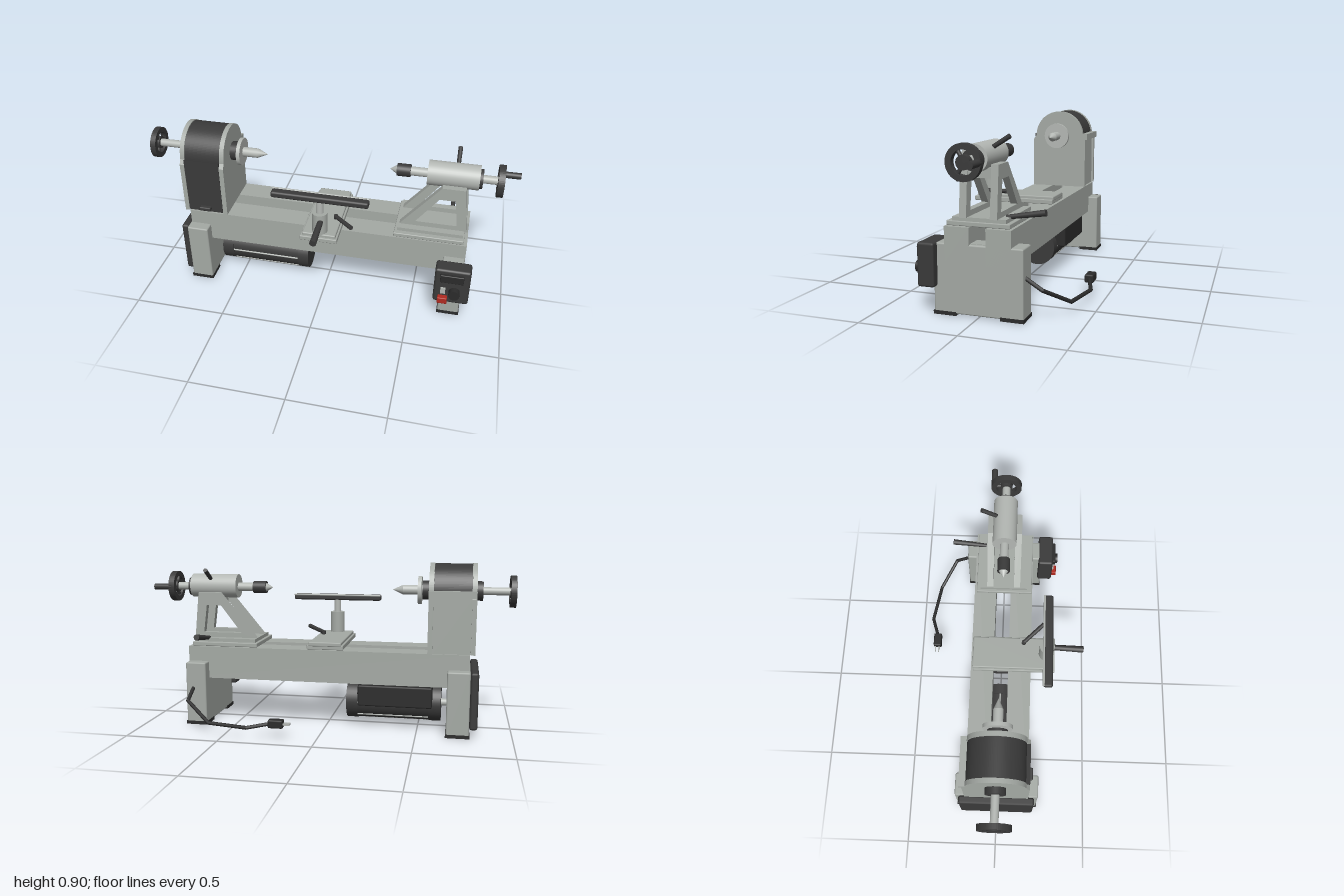
import * as THREE from 'three';
import { RoundedBoxGeometry } from 'three/addons/geometries/RoundedBoxGeometry.js';

const mat = (name, color) => {
  const m = new THREE.MeshStandardMaterial({ color });
  m.name = name;
  return m;
};

export function createModel() {
  const root = new THREE.Group();
  root.name = 'woodLathe';
  const paint = mat('grey paint', 0xa5aaa5);
  const steel = mat('bright steel', 0xb4b8b4);
  const dark = mat('dark plastic', 0x3a3a3a);
  const black = mat('black rubber', 0x2b2b2b);
  const red = mat('red button', 0xb02a20);

  const add = (name, geo, material) => {
    const m = new THREE.Mesh(geo, material);
    m.name = name;
    root.add(m);
    return m;
  };
  // Box given by its lower and upper limits on each axis
  const box = (name, [x0, x1], [y0, y1], [z0, z1], material, r = 0) => {
    const size = [x1 - x0, y1 - y0, z1 - z0];
    const g = r ? new RoundedBoxGeometry(...size, 1, r) : new THREE.BoxGeometry(...size);
    g.translate((x0 + x1) / 2, (y0 + y1) / 2, (z0 + z1) / 2);
    return add(name, g, material);
  };
  // Round rod from a to b, optionally tapered
  const rod = (name, a, b, r, material, rEnd = r, sides = 24) => {
    const A = new THREE.Vector3(...a), B = new THREE.Vector3(...b), d = B.clone().sub(A);
    const m = add(name, new THREE.CylinderGeometry(rEnd, r, d.length(), sides), material);
    m.position.copy(A).add(B).multiplyScalar(0.5);
    m.quaternion.setFromUnitVectors(new THREE.Vector3(0, 1, 0), d.normalize());
    return m;
  };
  // Rod along x on the turning axis
  const AXIS = 0.752;
  const spin = (name, x0, x1, r, material, rEnd = r) =>
    rod(name, [x0, AXIS, 0], [x1, AXIS, 0], r, material, rEnd, 32);
  // Shape drawn in (-z, y) and extruded along x
  const slab = (name, shape, x0, x1, material) => {
    const g = new THREE.ExtrudeGeometry(shape, { depth: x1 - x0, bevelEnabled: false, curveSegments: 28 });
    g.rotateY(Math.PI / 2);
    g.translate(x0, 0, 0);
    return add(name, g, material);
  };

  // Bed rails and their cross ties
  for (const s of [-1, 1]) {
    const z = [s * 0.042, s * 0.167].sort((a, b) => a - b);
    box('bedRail', [-0.77, 0.77], [0.255, 0.432], z, paint);
  }
  for (const x of [-0.715, 0.71]) box('bedTie', [x - 0.04, x + 0.04], [0.26, 0.352], [-0.045, 0.045], paint);

  // Legs with rubber feet
  for (const [x0, x1] of [[-0.777, -0.657], [0.655, 0.77]]) {
    box('leg', [x0, x1], [0.008, 0.35], [-0.225, 0.225], paint, 0.008);
    for (const s of [-1, 1]) {
      box('foot', [x0 - 0.003, x1 + 0.003], [0, 0.018], [s * 0.17 - 0.058, s * 0.17 + 0.058], black);
    }
  }
  box('beltCover', [-0.82, -0.777], [0.04, 0.345], [-0.205, 0.205], dark, 0.012);

  // Motor
  const MY = 0.135;
  rod('motorShaft', [-0.67, MY, 0], [-0.62, MY, 0], 0.02, steel);
  rod('motorBody', [-0.605, MY, 0], [-0.13, MY, 0], 0.1, dark, 0.1, 40);
  rod('motorCap', [-0.625, MY, 0], [-0.56, MY, 0], 0.104, dark, 0.104, 40);
  rod('motorCap', [-0.17, MY, 0], [-0.11, MY, 0], 0.104, dark, 0.104, 40);
  for (let i = 0; i < 8; i++) {
    const a = (i * Math.PI) / 4;
    const y = MY + 0.1 * Math.sin(a), z = 0.1 * Math.cos(a);
    rod('motorTieBar', [-0.56, y, z], [-0.17, y, z], 0.005, steel, 0.005, 8);
  }
  box('motorWiringBox', [-0.58, -0.18], [0.13, 0.243], [-0.15, -0.045], black, 0.008);

  // Headstock: arched end plates, core and hinged cover
  const arch = (w, r, y0) => {
    const s = new THREE.Shape();
    s.moveTo(-w, y0);
    s.lineTo(w, y0);
    s.lineTo(w, 0.725);
    s.lineTo(r, 0.752);
    s.absarc(0, 0.75, r, 0, Math.PI, false);
    s.lineTo(-w, 0.725);
    return s;
  };
  slab('headstockPlate', arch(0.167, 0.15, 0.432), -0.797, -0.773, paint);
  slab('headstockPlate', arch(0.167, 0.15, 0.432), -0.575, -0.55, paint);
  slab('headstockCore', arch(0.155, 0.135, 0.432), -0.773, -0.575, paint);
  const cover = new THREE.Shape();
  cover.moveTo(-0.167, 0.44);
  cover.lineTo(-0.15, 0.44);
  cover.lineTo(-0.13, 0.75);
  cover.absarc(0, 0.75, 0.13, Math.PI, 0, true);
  cover.lineTo(0.147, 0.75);
  cover.absarc(0, 0.75, 0.147, 0, Math.PI, false);
  cover.lineTo(-0.167, 0.757);
  slab('headstockCover', cover, -0.772, -0.576, dark);
  box('coverLatch', [-0.705, -0.64], [0.452, 0.475], [0.16, 0.19], dark, 0.006);
  box('coverHinge', [-0.797, -0.55], [0.727, 0.763], [-0.18, -0.13], paint);

  // Spindle, faceplate and drive centre
  spin('spindleTail', -0.97, -0.79, 0.021, steel);
  spin('bearingCollar', -0.83, -0.795, 0.052, dark);
  spin('bearingCollar', -0.552, -0.512, 0.052, dark);
  spin('spindleNose', -0.515, -0.405, 0.026, steel);
  spin('faceplate', -0.507, -0.487, 0.076, steel);
  spin('driveCentre', -0.405, -0.35, 0.026, steel, 0.001);

  // Three-spoked handwheels
  const handwheel = (x0, x1) => {
    const rim = new THREE.Shape().absarc(0, AXIS, 0.085, 0, Math.PI * 2, false);
    rim.holes.push(new THREE.Path().absarc(0, AXIS, 0.057, 0, Math.PI * 2, true));
    slab('handwheelRim', rim, x0, x1, dark);
    spin('handwheelHub', x0, x1, 0.034, dark);
    const x = (x0 + x1) / 2;
    for (let i = 0; i < 3; i++) {
      const a = (i * Math.PI * 2) / 3;
      rod('handwheelSpoke', [x, AXIS, 0], [x, AXIS + 0.064 * Math.sin(a), -0.064 * Math.cos(a)], 0.01, dark, 0.01, 12);
    }
  };
  handwheel(-1, -0.97);
  handwheel(0.882, 0.915);
  rod('crankHandle', [0.9, AXIS, -0.069], [1, AXIS, -0.069], 0.017, dark);

  // Tool rest: sliding base, post and bar
  box('toolRestBase', [-0.1, 0.1], [0.433, 0.458], [-0.155, 0.3], paint, 0.004);
  box('toolRestBaseTop', [-0.09, 0.09], [0.45, 0.474], [-0.158, 0.288], paint, 0.006);
  rod('toolRestSocket', [0, 0.47, 0.25], [0, 0.592, 0.25], 0.041, paint);
  rod('toolRestPost', [0, 0.59, 0.25], [0, 0.665, 0.25], 0.02, steel);
  box('toolRestBar', [-0.258, 0.258], [0.661, 0.695], [0.227, 0.276], dark, 0.01);
  rod('toolRestEdge', [-0.256, 0.691, 0.228], [0.256, 0.691, 0.228], 0.006, steel, 0.006, 10);
  rod('postLockLever', [0.01, 0.553, 0.27], [0.01, 0.535, 0.45], 0.015, dark, 0.018, 16);
  rod('baseLockLever', [0.06, 0.486, 0.125], [0.165, 0.504, 0.235], 0.011, dark, 0.012, 16);
  rod('baseLockPin', [0.06, 0.47, 0.125], [0.06, 0.494, 0.125], 0.012, dark);

  // Tailstock: base, pair of triangular side frames, barrel
  box('tailstockBase', [0.38, 0.752], [0.433, 0.456], [-0.155, 0.163], paint, 0.004);
  box('tailstockBaseTop', [0.395, 0.745], [0.452, 0.475], [-0.135, 0.135], paint);
  const frame = new THREE.Shape([[0.4, 0.473], [0.757, 0.473], [0.732, 0.725], [0.61, 0.725]]
    .map(p => new THREE.Vector2(...p)));
  frame.holes.push(new THREE.Path([[0.485, 0.502], [0.602, 0.655], [0.685, 0.655], [0.705, 0.502]]
    .map(p => new THREE.Vector2(...p))));
  for (const z of [-0.095, 0.059]) {
    const g = new THREE.ExtrudeGeometry(frame, { depth: 0.036, bevelEnabled: false });
    add('tailstockFrame', g.translate(0, 0, z), paint);
  }
  box('barrelSaddle', [0.61, 0.732], [0.66, 0.71], [-0.062, 0.062], paint);
  rod('barrel', [0.525, 0.757, 0], [0.792, 0.757, 0], 0.066, steel, 0.066, 40);
  spin('barrelCollar', 0.79, 0.808, 0.052, dark);
  spin('feedScrew', 0.805, 0.885, 0.022, steel);
  spin('quill', 0.43, 0.53, 0.024, steel);
  spin('liveCentreBody', 0.362, 0.435, 0.034, dark);
  spin('liveCentreTip', 0.365, 0.325, 0.026, steel, 0.001);
  rod('quillLockLever', [0.675, 0.795, -0.04], [0.675, 0.852, -0.13], 0.011, dark, 0.012, 16);
  rod('tailstockLockLever', [0.67, 0.473, -0.11], [0.67, 0.505, -0.302], 0.011, dark, 0.016, 16);

  // Clamp bolts and plates under the bed
  for (const x of [0, 0.57, -0.67]) {
    rod('clampBolt', [x, 0.24, 0], [x, 0.44, 0], 0.018, steel);
    if (x >= 0) box('clampPlate', [x - 0.045, x + 0.045], [0.235, 0.255], [-0.08, 0.08], dark);
  }

  // Control box on the right leg
  box('controlBox', [0.625, 0.812], [0.138, 0.354], [0.205, 0.292], dark, 0.012);
  box('displayPanel', [0.655, 0.778], [0.283, 0.33], [0.285, 0.308], black, 0.004);
  rod('speedKnob', [0.735, 0.218, 0.29], [0.735, 0.218, 0.327], 0.029, black);
  box('directionSwitch', [0.662, 0.688], [0.205, 0.24], [0.288, 0.303], steel);
  box('stopButton', [0.65, 0.702], [0.15, 0.187], [0.288, 0.321], red, 0.004);

  // Power cord and plug
  const cord = [[0.73, 0.207, -0.22], [0.73, 0.155, -0.305], [0.58, 0.065, -0.4], [0.36, 0.062, -0.44], [0.24, 0.08, -0.402]];
  for (let i = 0; i + 1 < cord.length; i++) {
    rod('powerCord', cord[i], cord[i + 1], 0.01, black, 0.01, 10);
    const joint = add('cordBend', new THREE.SphereGeometry(0.01, 10, 8), black);
    joint.position.set(...cord[i + 1]);
  }
  box('plug', [0.17, 0.25], [0.06, 0.104], [-0.425, -0.377], black, 0.008);
  for (const z of [-0.413, -0.393]) box('plugProng', [0.135, 0.172], [0.077, 0.088], [z - 0.003, z + 0.003], steel);

  return root;
}
